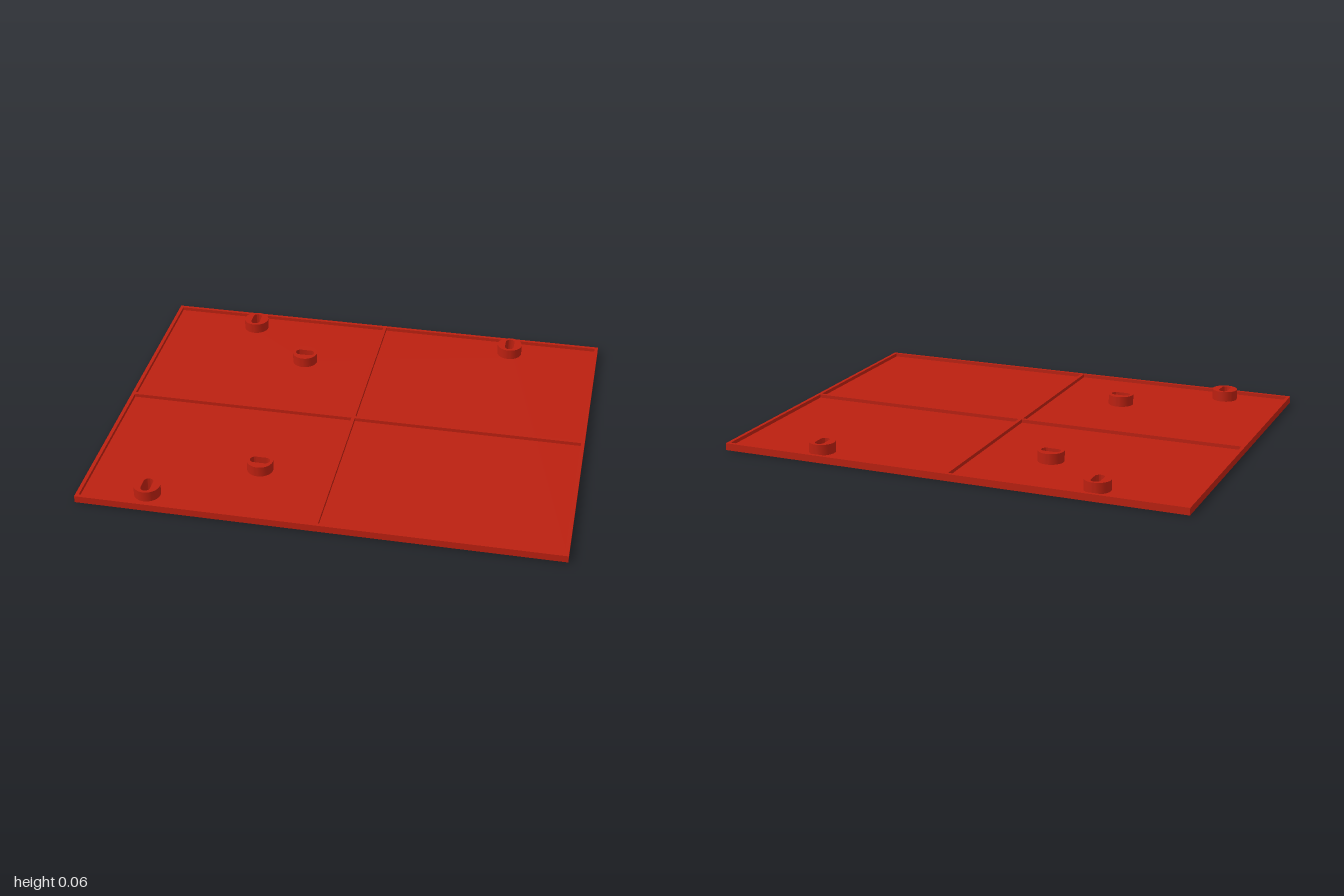
import * as THREE from 'three';
import { toCreasedNormals } from 'three/addons/utils/BufferGeometryUtils.js';

const W = 1, D = 0.78;            // half width and half depth
const FLOOR = 0.015, RIM = 0.03, TOP = 0.06;
const WALL = 0.015;               // thickness of rim and ribs
const BOSS_R = 0.055, SLOT_R = 0.02, SLOT_HALF = 0.022;

// Bosses: x, z, whether the slot runs along x
const BOSSES = [
  [-0.6, -0.68, false],
  [0.6, -0.68, false],
  [-0.72, 0.685, false],
  [-0.31, -0.43, true],
  [-0.31, 0.43, true],
];

// Rectangle in plan (shape y is -z)
function rect(target, x0, y0, x1, y1) {
  target.moveTo(x0, y0).lineTo(x1, y0).lineTo(x1, y1).lineTo(x0, y1).closePath();
  return target;
}

// Rounded slot in plan
function slot(x, y, alongX) {
  const p = new THREE.Path();
  const a = alongX ? -Math.PI / 2 : 0;
  const dx = alongX ? SLOT_HALF : 0, dy = alongX ? 0 : SLOT_HALF;
  p.absarc(x + dx, y + dy, SLOT_R, a, a + Math.PI, false);
  p.absarc(x - dx, y - dy, SLOT_R, a + Math.PI, a + 2 * Math.PI, false);
  p.closePath();
  return p;
}

// Raise a plan shape from y0 to y1
function raise(shape, y0, y1) {
  const g = new THREE.ExtrudeGeometry(shape, { depth: y1 - y0, bevelEnabled: false, curveSegments: 20 });
  g.rotateX(-Math.PI / 2).translate(0, y0, 0);
  return toCreasedNormals(g, 0.6);
}

export function createModel() {
  const group = new THREE.Group();
  group.name = 'slottedPanel';
  const red = new THREE.MeshStandardMaterial({ color: 0xbb2010 });
  red.name = 'red';
  const add = (name, geometry) => {
    const mesh = new THREE.Mesh(geometry, red);
    mesh.name = name;
    group.add(mesh);
  };

  // Floor plate pierced by the slots
  const floor = rect(new THREE.Shape(), -W, -D, W, D);
  for (const [x, z, alongX] of BOSSES) floor.holes.push(slot(x, -z, alongX));
  add('floorPlate', raise(floor, 0, FLOOR));

  // Rim and cross ribs as one frame with four openings
  const frame = rect(new THREE.Shape(), -W, -D, W, D);
  const h = WALL / 2;
  for (const [x0, x1] of [[-W + WALL, -h], [h, W - WALL]])
    for (const [y0, y1] of [[-D + WALL, -h], [h, D - WALL]])
      frame.holes.push(rect(new THREE.Path(), x0, y0, x1, y1));
  add('rimAndRibs', raise(frame, FLOOR, RIM));

  // Round mounting bosses with slots
  BOSSES.forEach(([x, z, alongX], i) => {
    const s = new THREE.Shape();
    s.absarc(x, -z, BOSS_R, 0, Math.PI * 2, false);
    s.holes.push(slot(x, -z, alongX));
    add('mountingBoss' + (i + 1), raise(s, FLOOR, TOP));
  });

  return group;
}
